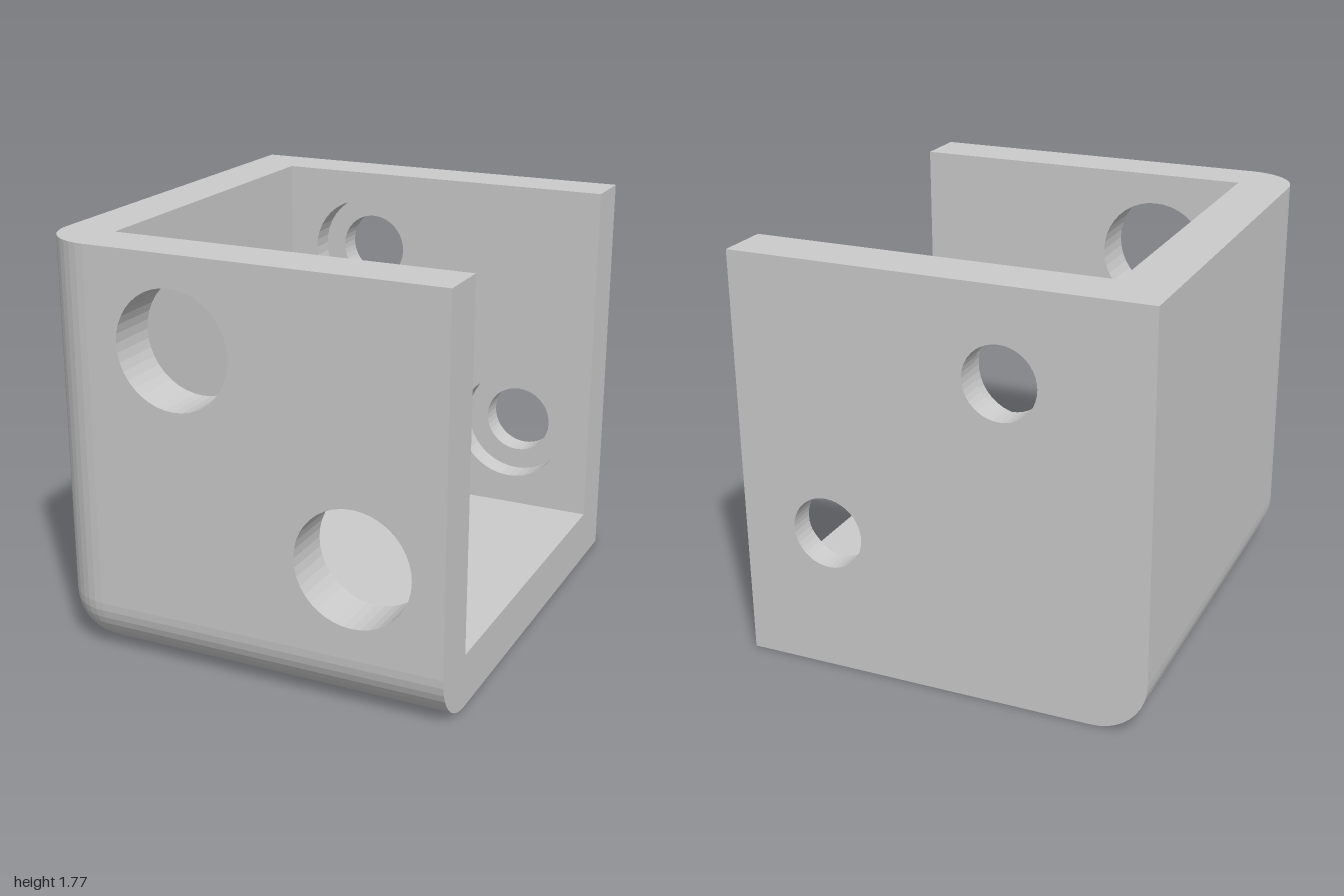
import * as THREE from 'three';

const T = 0.23;                                   // wall thickness = edge radius
const X0 = -0.885, X1 = 0.885, H = 1.77;          // outer extents
const XI = X0 + T, ZI = 1 - T;                    // inner faces
const HOLES = [[-0.27, 1.385], [0.5, 0.615]];
const BORE = 0.25, SCREW = 0.155;

const material = new THREE.MeshStandardMaterial({ color: 0xcccccc, flatShading: true });

function add(group, name, geometry, x = 0, y = 0, z = 0) {
  const mesh = new THREE.Mesh(geometry, material);
  mesh.name = name;
  mesh.position.set(x, y, z);
  group.add(mesh);
}

const extrude = (shape, depth, curveSegments) =>
  new THREE.ExtrudeGeometry(shape, { depth, curveSegments, bevelEnabled: false });

// Upright plate between the inner faces, pierced by both holes
function plate(radius, depth) {
  const shape = new THREE.Shape();
  shape.moveTo(XI, T).lineTo(X1, T).lineTo(X1, H).lineTo(XI, H).closePath();
  for (const [x, y] of HOLES) {
    shape.holes.push(new THREE.Path().absarc(x, y, radius, 0, Math.PI * 2, true));
  }
  return extrude(shape, depth, 20);
}

// Quarter-round bar extruded along +z
function quarterBar(length) {
  const shape = new THREE.Shape();
  shape.moveTo(0, 0).lineTo(-T, 0);
  shape.absarc(0, 0, T, Math.PI, Math.PI * 1.5, false);
  shape.closePath();
  return extrude(shape, length, 5);
}

export function createModel() {
  const group = new THREE.Group();
  group.name = 'cornerBracket';

  // Floor and left-hand wall: one L profile with a rounded outer corner
  const profile = new THREE.Shape();
  profile.moveTo(X0, H).lineTo(X0, T);
  profile.absarc(XI, T, T, Math.PI, Math.PI * 1.5, false);
  profile.lineTo(X1, 0).lineTo(X1, T).lineTo(XI, T).lineTo(XI, H).closePath();
  add(group, 'floorAndSideWall', extrude(profile, 1 + ZI, 5), 0, 0, -1);

  // Front wall with wide access holes
  add(group, 'frontWall', plate(BORE, T), 0, 0, ZI);

  // Back wall: screw holes outside, counterbores inside
  add(group, 'backWallOuter', plate(SCREW, T / 2), 0, 0, -1);
  add(group, 'backWallCounterbore', plate(BORE, T / 2), 0, 0, -1 + T / 2);

  // Rounded front edges and the ball corner where they meet
  add(group, 'frontBottomEdge', quarterBar(X1 - XI).rotateY(Math.PI / 2), XI, T, ZI);
  add(group, 'frontSideEdge', quarterBar(H - T).rotateX(-Math.PI / 2), XI, T, ZI);
  add(group, 'roundedCorner',
    new THREE.SphereGeometry(T, 10, 10, 0, Math.PI / 2, Math.PI / 2, Math.PI / 2), XI, T, ZI);

  return group;
}
